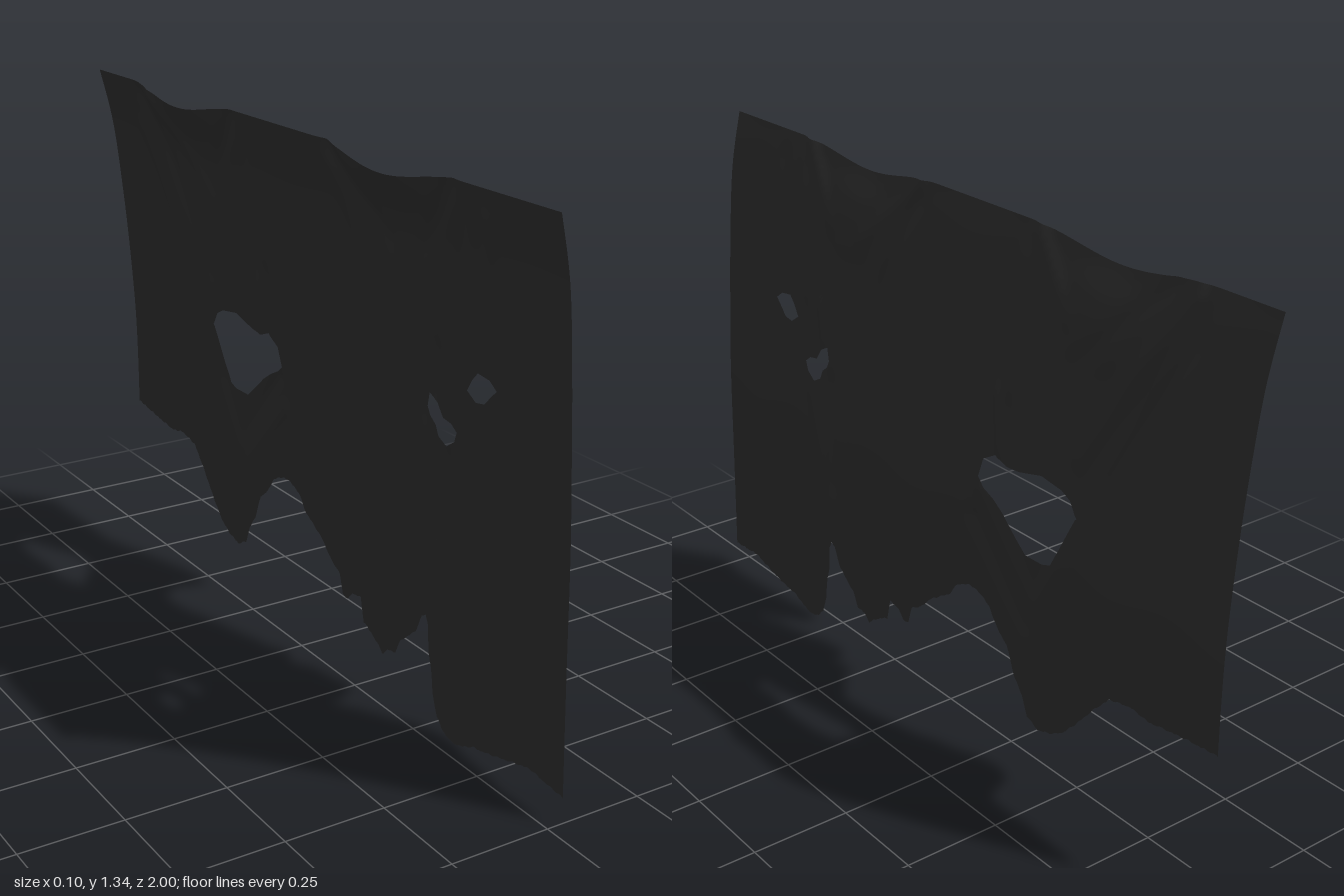
import * as THREE from 'three';
import { mergeVertices } from 'three/addons/utils/BufferGeometryUtils.js';

// Ragged bottom hem, [z, y]
const HEM = [[1, .065], [.88, .075], [.82, .06], [.74, .04], [.68, .03], [.64, .013], [.6, .002], [.56, .015], [.535, .04],
  [.515, .09], [.508, .15], [.495, .19], [.49, .26], [.48, .28], [.465, .27], [.44, .22], [.41, .195], [.38, .17], [.36, .13],
  [.33, .125], [.31, .105], [.29, .12], [.26, .14], [.225, .155], [.21, .215], [.17, .21], [.15, .185], [.125, .19], [.11, .24],
  [.07, .26], [.03, .3], [-.05, .35], [-.08, .39], [-.13, .41], [-.18, .4], [-.21, .38], [-.24, .34], [-.28, .31], [-.31, .24],
  [-.34, .2], [-.36, .15], [-.4, .13], [-.45, .145], [-.49, .17], [-.53, .21], [-.6, .29], [-.65, .34], [-.72, .355],
  [-.78, .345], [-.9, .36], [-1, .37]];

// Upper and lower rims of the three holes; between holes both follow the same line
const RIM_TOP = [[1, .9], [.745, .907], [.72, .925], [.68, .93], [.66, .91], [.64, .88],
  [.6, .77], [.58, .785], [.55, .79], [.53, .82], [.5, .835], [.49, .8],
  [-.15, .71], [-.165, .76], [-.21, .785], [-.25, .77], [-.3, .775], [-.38, .795], [-.45, .785], [-.48, .77], [-.503, .735], [-1, .75]];
const RIM_LOW = [[1, .9], [.745, .907], [.72, .885], [.7, .865], [.67, .86], [.64, .88],
  [.6, .77], [.59, .745], [.56, .725], [.53, .74], [.52, .765], [.5, .78], [.49, .8],
  [-.15, .71], [-.18, .69], [-.21, .675], [-.25, .65], [-.3, .61], [-.34, .58], [-.4, .58], [-.43, .59], [-.45, .63],
  [-.47, .67], [-.48, .69], [-.503, .735], [-1, .75]];

// Lean of the cloth, [y, x]
const LEAN = new THREE.SplineCurve([[1.35, -.042], [1.2, -.008], [1, .014], [.8, .029], [.6, .039], [.3, .042], [0, .042]]
  .map(p => new THREE.Vector2(...p))).getPoints(60).map(p => [p.x, p.y]);

// Creases: z0, y0, z1, y1, width, height
const FOLDS = [
  [.16, 1.34, .36, 1.16, .022, .011], [.17, 1.3, .27, 1.05, .02, -.007], [.64, 1.34, .5, 1.17, .022, .01],
  [.66, 1.3, .6, .95, .018, .006], [.75, 1.28, .7, .95, .02, -.004],
  [-.78, 1.32, -.5, .88, .024, .011], [-.8, 1.22, -.6, .85, .02, -.007], [-.7, 1.32, -.45, 1.08, .02, -.009],
  [-.28, 1.33, -.42, 1.18, .022, .01], [-.25, 1.28, -.27, .95, .018, .005],
  [-.2, .95, -.22, .79, .012, .009], [-.24, .92, -.25, .78, .01, -.007],
  [-.17, .68, -.36, .48, .02, .008], [-.14, .6, -.34, .4, .02, -.007], [-.46, .6, -.38, .46, .02, .007],
  [.57, .7, .52, .5, .016, .006], [.48, .75, .47, .45, .018, -.005], [.54, .95, .52, .84, .012, .008]];

// Piecewise-linear lookup in a table whose first column falls
function lookup(table, k) {
  let i = 1;
  while (i < table.length - 1 && table[i][0] > k) i++;
  const [a, b] = [table[i - 1], table[i]];
  const t = THREE.MathUtils.clamp((a[0] - k) / (a[0] - b[0]), 0, 1);
  return a[1] + (b[1] - a[1]) * t;
}

// Smooth bump for the two slack stretches of the top edge
function slack(z) {
  const bump = (c, w) => Math.abs(z - c) < w ? Math.cos((z - c) / w * Math.PI / 2) ** 2 : 0;
  return bump(.4, .28) + bump(-.53, .29);
}

function foldDepth(z, y) {
  let d = 0;
  for (const [z0, y0, z1, y1, w, h] of FOLDS) {
    const dz = z1 - z0, dy = y1 - y0;
    const t = THREE.MathUtils.clamp(((z - z0) * dz + (y - y0) * dy) / (dz * dz + dy * dy), 0, 1);
    const r2 = (z - z0 - dz * t) ** 2 + (y - y0 - dy * t) ** 2;
    d += h * Math.exp(-r2 / (w * w)) * (1 - .6 * t);
  }
  return d;
}

function clothPoint(z, y) {
  const s = slack(z);
  const x = lookup(LEAN, y) + foldDepth(z, y)
    - .02 * s * Math.exp(-(((1.33 - y) / .07) ** 2))
    + .01 * s * Math.exp(-(((1.18 - y) / .09) ** 2))
    + .002 * Math.sin(z * 17 + y * 2) * Math.min(1, (1.35 - y) * 3);
  // side edges draw in slightly at mid height
  const pull = .016 * Math.sin(Math.PI * THREE.MathUtils.clamp((1.35 - y) / 1.35, 0, 1));
  return [x, y, z * (1 - pull * z * z)];
}

function createClothGeometry() {
  const columns = 400, rows = 34;
  const positions = [], indices = [];
  const top = z => 1.35 - .033 * slack(z);
  const hem = z => lookup(HEM, z) + .004 * Math.abs(Math.sin(z * 71) * Math.sin(z * 113));
  // one band above the holes, one below
  const bands = [[top, z => lookup(RIM_TOP, z)], [z => lookup(RIM_LOW, z), hem]];
  for (const [upper, lower] of bands) {
    const start = positions.length / 3;
    for (let i = 0; i <= columns; i++) {
      const z = 1 - 2 * i / columns;
      for (let j = 0; j <= rows; j++) {
        positions.push(...clothPoint(z, THREE.MathUtils.lerp(upper(z), lower(z), j / rows)));
        if (i < columns && j < rows) {
          const a = start + i * (rows + 1) + j, b = a + rows + 1;
          indices.push(a, a + 1, b, b, a + 1, b + 1);
        }
      }
    }
  }
  const geometry = new THREE.BufferGeometry();
  geometry.setAttribute('position', new THREE.Float32BufferAttribute(positions, 3));
  geometry.setIndex(indices);
  const welded = mergeVertices(geometry, 1e-5);
  welded.computeVertexNormals();
  return welded;
}

export function createModel() {
  const group = new THREE.Group();
  group.name = 'tornCloth';
  const material = new THREE.MeshStandardMaterial({ color: 0x2a2a2a, side: THREE.DoubleSide });
  const cloth = new THREE.Mesh(createClothGeometry(), material);
  cloth.name = 'clothSheet';
  group.add(cloth);
  return group;
}
